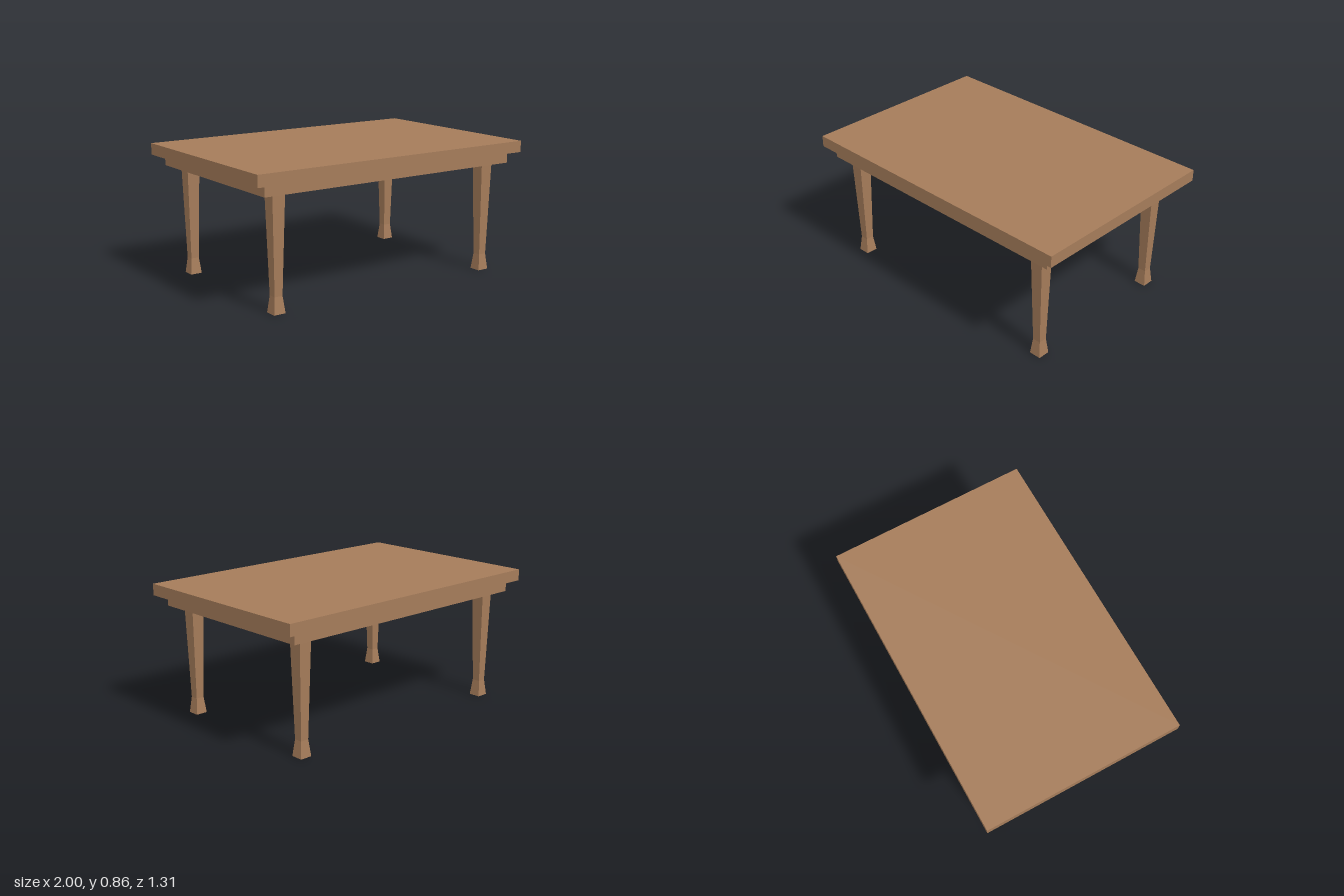
import * as THREE from 'three';

export function createModel() {
  const model = new THREE.Group();
  model.name = 'table';
  const wood = new THREE.MeshStandardMaterial({ color: 0xa57c5a });
  wood.name = 'brown wood';

  const add = (name, geometry, x, y, z) => {
    const mesh = new THREE.Mesh(geometry, wood);
    mesh.name = name;
    mesh.position.set(x, y, z);
    model.add(mesh);
  };

  const topY = 0.862, slabY = 0.788, apronY = 0.718;

  // Tabletop slab
  add('tabletop', new THREE.BoxGeometry(2, topY - slabY, 1.312), 0, (topY + slabY) / 2, 0);

  // Apron: hollow rectangular frame under the slab
  const rectangle = (target, w, d) => target
    .moveTo(-w, -d).lineTo(w, -d).lineTo(w, d).lineTo(-w, d).closePath();
  const frame = rectangle(new THREE.Shape(), 0.928, 0.608);
  frame.holes.push(rectangle(new THREE.Path(), 0.845, 0.555));
  const apron = new THREE.ExtrudeGeometry(frame, { depth: slabY - apronY, bevelEnabled: false });
  apron.rotateX(-Math.PI / 2);
  add('apron', apron, 0, apronY, 0);

  // Square legs: flared foot, narrow ankle, widening up to the slab
  const profile = [[0, 0], [0.039, 0], [0.027, 0.105], [0.0445, slabY]]
    .map(([half, y]) => new THREE.Vector2(half * Math.SQRT2, y));
  const leg = new THREE.LatheGeometry(profile, 4, Math.PI / 4).toNonIndexed();
  leg.computeVertexNormals();
  for (const [side, x] of [['Left', 0.8], ['Right', -0.8]])
    for (const [end, z] of [['front', 0.51], ['back', -0.51]])
      add(`${end}${side}Leg`, leg, x, 0, z);

  return model;
}
